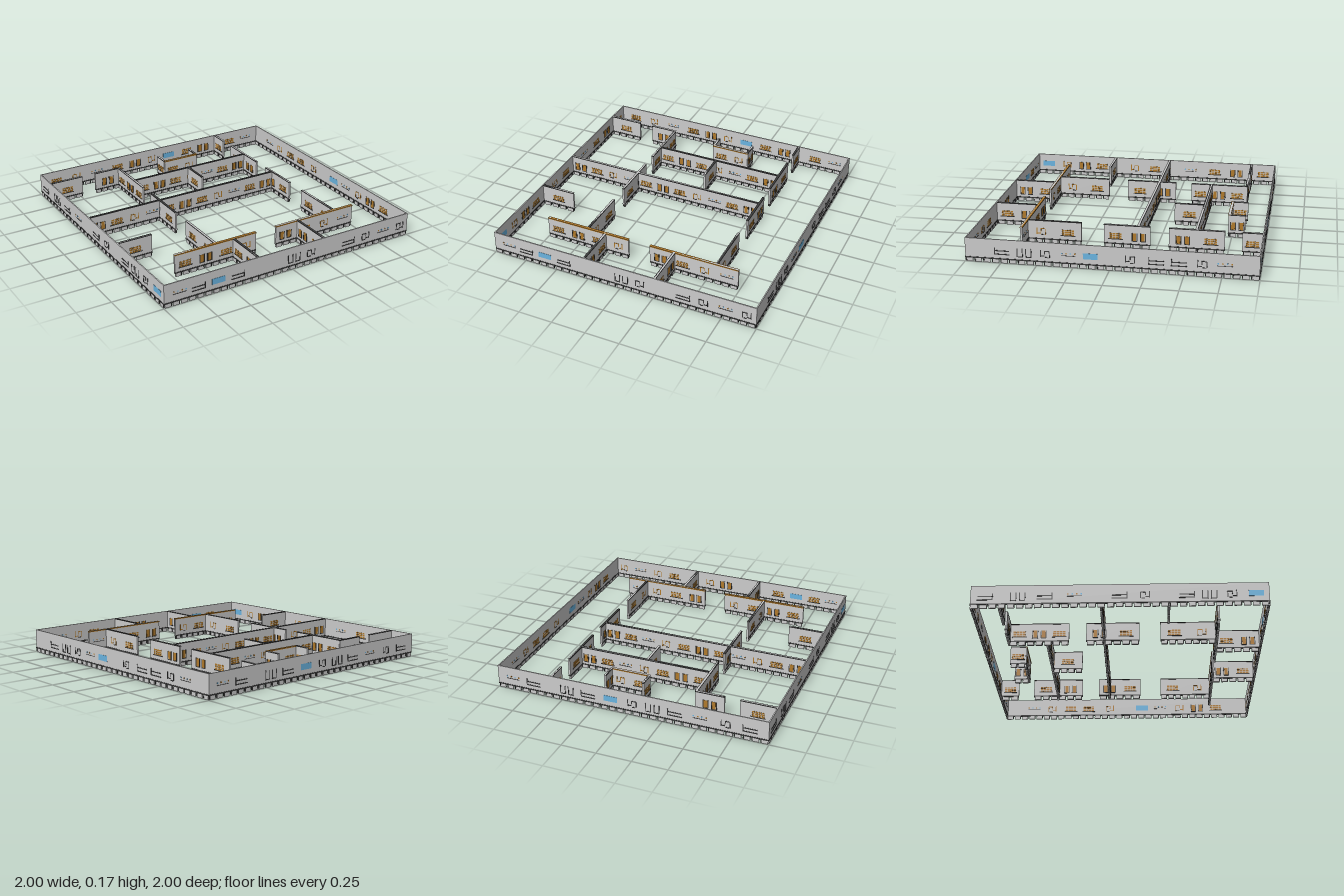
import * as THREE from 'three';
import { mergeGeometries } from 'three/addons/utils/BufferGeometryUtils.js';

const HEIGHT = 0.17;
const BASE = 0.026; // underside of the wall panel, top of its feet
const MATERIALS = {
  panel: new THREE.MeshStandardMaterial({ color: 0xcccccc }),
  darkTrim: new THREE.MeshStandardMaterial({ color: 0x3c3c3c }),
  orangeTrim: new THREE.MeshStandardMaterial({ color: 0xb07a2c }),
  blueScreen: new THREE.MeshStandardMaterial({ color: 0x6ab4e0 }),
};

// Fittings: each adds parts around u, through put(color, du, y, width, height)
const FITTINGS = {
  // shelf rack: horizontal lines closed by an upright
  rack(put, outside) {
    if (!outside) {
      for (const y of [0.073, 0.088, 0.103])
        for (const du of [-0.034, -0.011, 0.011, 0.034]) put('orangeTrim', du, y, 0.019, 0.011);
    } else {
      put('darkTrim', 0.05, 0.088, 0.006, 0.045);
      put('darkTrim', 0, 0.089, 0.1, 0.007);
    }
    put('darkTrim', 0, 0.064, 0.106, 0.007);
  },
  // tall U-shaped ducts
  ducts(put, outside) {
    for (const c of [-0.03, 0.03]) {
      if (!outside) put('orangeTrim', c, 0.085, 0.026, 0.058);
      for (const e of [-0.018, 0.018]) put('darkTrim', c + e, 0.085, 0.006, 0.062);
      put('darkTrim', c, 0.055, 0.036, 0.006);
    }
  },
  // cluster of short pipes
  pipes(put, outside) {
    const color = outside ? 'darkTrim' : 'orangeTrim';
    for (const [du, y, w, h] of [[-0.03, 0.085, 0.006, 0.045], [-0.015, 0.108, 0.03, 0.006],
      [0.002, 0.098, 0.006, 0.025], [0.015, 0.073, 0.024, 0.006], [0.03, 0.09, 0.006, 0.05]]) put(color, du, y, w, h);
    put('darkTrim', -0.012, 0.062, 0.022, 0.006);
  },
  // row of indicator lamps
  lamps(put) {
    for (let i = 0; i < 4; i++) put(i % 2 ? 'blueScreen' : 'orangeTrim', -0.045 + i * 0.03, 0.1, 0.009, 0.009);
    put('darkTrim', 0, 0.084, 0.1, 0.003);
  },
  screen(put) {
    put('blueScreen', 0, 0.09, 0.1, 0.042);
  },
};

function makeWall({ name, along, at, from, to, outer = 0, fittings, cap = false }) {
  const length = to - from;
  const half = outer ? 0.004 : 0.007;
  const parts = { panel: [], darkTrim: [], orangeTrim: [], blueScreen: [] };
  const box = (color, u, y, z, w, h, d) =>
    parts[color].push(new THREE.BoxGeometry(w, h, d).translate(u, y, z));

  // panel, skirting rail and the toothed foot
  box('panel', length / 2, (BASE + HEIGHT) / 2, 0, length, HEIGHT - BASE, half * 2);
  box('darkTrim', length / 2, 0.031, 0, length, 0.009, half * 2 + 0.004);
  const feet = Math.max(2, Math.round(length / 0.06));
  const pitch = length / feet;
  for (let i = 0; i < feet; i++) {
    const u = (i + 0.5) * pitch;
    box('panel', u, BASE / 2, 0, pitch * 0.78, BASE, half * 2);
    box('darkTrim', u + pitch * 0.37, BASE / 2 + 0.003, 0, 0.007, BASE - 0.006, half * 2 + 0.003);
  }
  // coping
  if (cap) box('orangeTrim', length / 2, HEIGHT - 0.004, 0, length, 0.008, half * 2 + 0.006);
  else if (!outer) box('darkTrim', length / 2, HEIGHT - 0.003, 0, length, 0.006, half * 2 + 0.003);

  // fittings on both faces
  for (const side of [-1, 1]) {
    for (const [kind, centre] of fittings) {
      const put = (color, du, y, w, h) => {
        const depth = color === 'darkTrim' ? 0.004 : 0.003;
        box(color, centre - from + du, y, side * half, w, h, depth);
      };
      FITTINGS[kind](put, side === outer);
    }
  }

  const wall = new THREE.Group();
  wall.name = name;
  for (const [color, list] of Object.entries(parts)) {
    if (!list.length) continue;
    const mesh = new THREE.Mesh(mergeGeometries(list), MATERIALS[color]);
    mesh.name = color;
    wall.add(mesh);
  }
  if (along === 'x') wall.position.set(from, 0, at);
  else {
    wall.position.set(at, 0, from);
    wall.rotation.y = -Math.PI / 2;
  }
  return wall;
}

// Evenly spaced fittings for a partition
const CYCLE = ['rack', 'ducts', 'rack', 'pipes', 'lamps'];
function spread(from, to, start) {
  const count = Math.max(1, Math.floor((to - from) / 0.14));
  const step = (to - from) / count;
  return Array.from({ length: count }, (_, i) =>
    [CYCLE[(i + start) % CYCLE.length], from + (i + 0.5) * step]);
}

export function createModel() {
  const model = new THREE.Group();
  model.name = 'walledFloorPlan';

  // Perimeter
  const EDGE = 0.994;
  const frontFittings = [['lamps', -0.88], ['rack', -0.74], ['screen', -0.59], ['rack', -0.44], ['ducts', 0.01],
    ['pipes', 0.15], ['rack', 0.47], ['pipes', 0.62], ['lamps', 0.78], ['pipes', 0.93]];
  const leftFittings = [['lamps', -0.77], ['pipes', -0.62], ['rack', -0.465], ['rack', -0.315], ['pipes', -0.14],
    ['screen', 0.13], ['lamps', 0.28], ['pipes', 0.44], ['ducts', 0.585], ['rack', 0.74]];
  const backFittings = [['rack', -0.87], ['pipes', -0.7], ['lamps', -0.52], ['rack', -0.34], ['ducts', -0.18],
    ['pipes', -0.03], ['screen', 0.13], ['rack', 0.3], ['ducts', 0.46], ['rack', 0.72], ['lamps', 0.88]];
  const rightFittings = [['rack', -0.9], ['ducts', -0.68], ['rack', -0.5], ['lamps', -0.3], ['rack', 0.0],
    ['pipes', 0.17], ['rack', 0.45], ['ducts', 0.6], ['pipes', 0.75], ['screen', 0.91]];
  model.add(
    makeWall({ name: 'frontWall', along: 'x', at: EDGE, from: -0.998, to: 0.998, outer: 1, fittings: frontFittings }),
    makeWall({ name: 'backWall', along: 'x', at: -EDGE, from: -0.998, to: 0.998, outer: -1, fittings: backFittings }),
    makeWall({ name: 'leftWall', along: 'z', at: EDGE, from: -0.998, to: 0.998, outer: -1, fittings: leftFittings }),
    makeWall({ name: 'rightWall', along: 'z', at: -EDGE, from: -0.998, to: 0.998, outer: 1, fittings: rightFittings }),
  );

  // Partitions: direction, offset, start, end, orange coping
  const partitions = [
    ['x', -0.804, -0.99, -0.735], ['x', -0.804, -0.625, -0.415],
    ['x', -0.73, -0.05, 0.245, true],
    ['x', -0.532, -0.42, 0.58], ['x', -0.124, -0.99, 0.58],
    ['x', 0.329, -0.99, -0.73],
    ['x', 0.674, -0.742, -0.094, true], ['x', 0.674, 0.072, 0.741, true],
    ['z', 0.578, -0.99, -0.85], ['z', 0.578, -0.73, -0.34],
    ['z', 0.578, -0.21, 0.12], ['z', 0.578, 0.28, 0.67],
    ['z', -0.42, -0.804, -0.377], ['z', -0.42, -0.255, 0.125], ['z', -0.42, 0.275, 0.67],
    ['z', -0.045, -0.845, -0.73], ['z', 0.24, -0.845, -0.73],
    ['z', 0.057, -0.532, -0.31],
    ['z', -0.277, 0.674, 0.99], ['z', 0.26, 0.674, 0.99],
  ];
  partitions.forEach(([along, at, from, to, cap], i) => {
    model.add(makeWall({ name: `partition${i + 1}`, along, at, from, to, cap, fittings: spread(from, to, i % 3) }));
  });
  return model;
}
